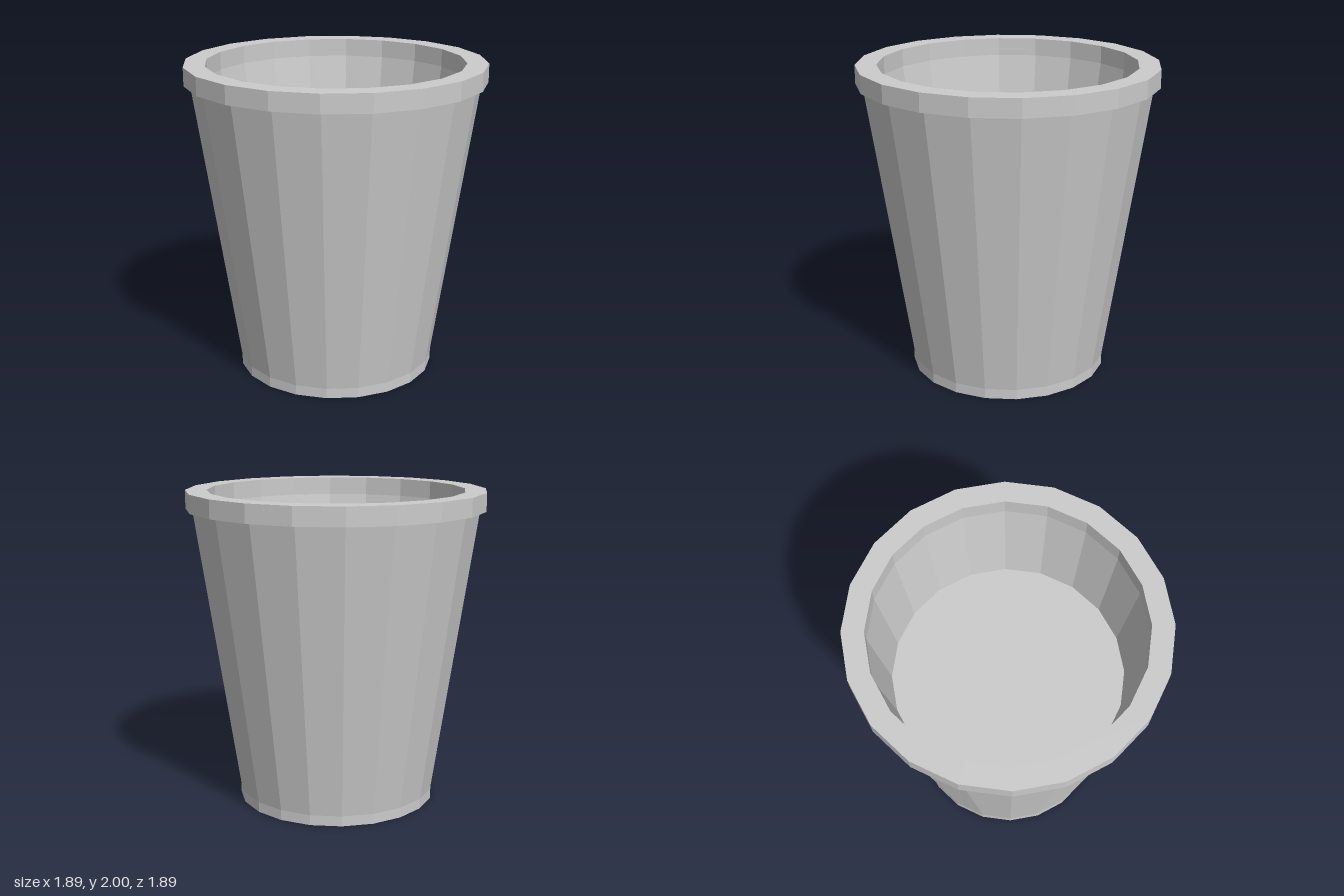
import * as THREE from 'three';

const SIDES = 20;
const material = new THREE.MeshStandardMaterial({ color: 0xcccccc, flatShading: true });

// Faceted ring or disc turned from [radius, height] points
function turned(name, profile) {
  const points = profile.map(([r, y]) => new THREE.Vector2(r, y));
  const mesh = new THREE.Mesh(new THREE.LatheGeometry(points, SIDES), material);
  mesh.name = name;
  return mesh;
}

export function createModel() {
  const group = new THREE.Group();
  group.name = 'cup';

  // Closed base, short straight foot and flaring outer wall
  group.add(turned('outerWall', [[0, 0], [0.634, 0], [0.634, 0.065], [0.905, 1.885]]));

  // Overhanging lip with a straight inner face
  group.add(turned('rim', [[0.905, 1.885], [0.945, 1.885], [0.945, 2], [0.812, 2], [0.812, 1.885]]));

  // Tapering inner wall down to the raised floor
  group.add(turned('innerWall', [[0.812, 1.885], [0.726, 1.28]]));
  group.add(turned('innerFloor', [[0.726, 1.28], [0, 1.28]]));

  return group;
}
